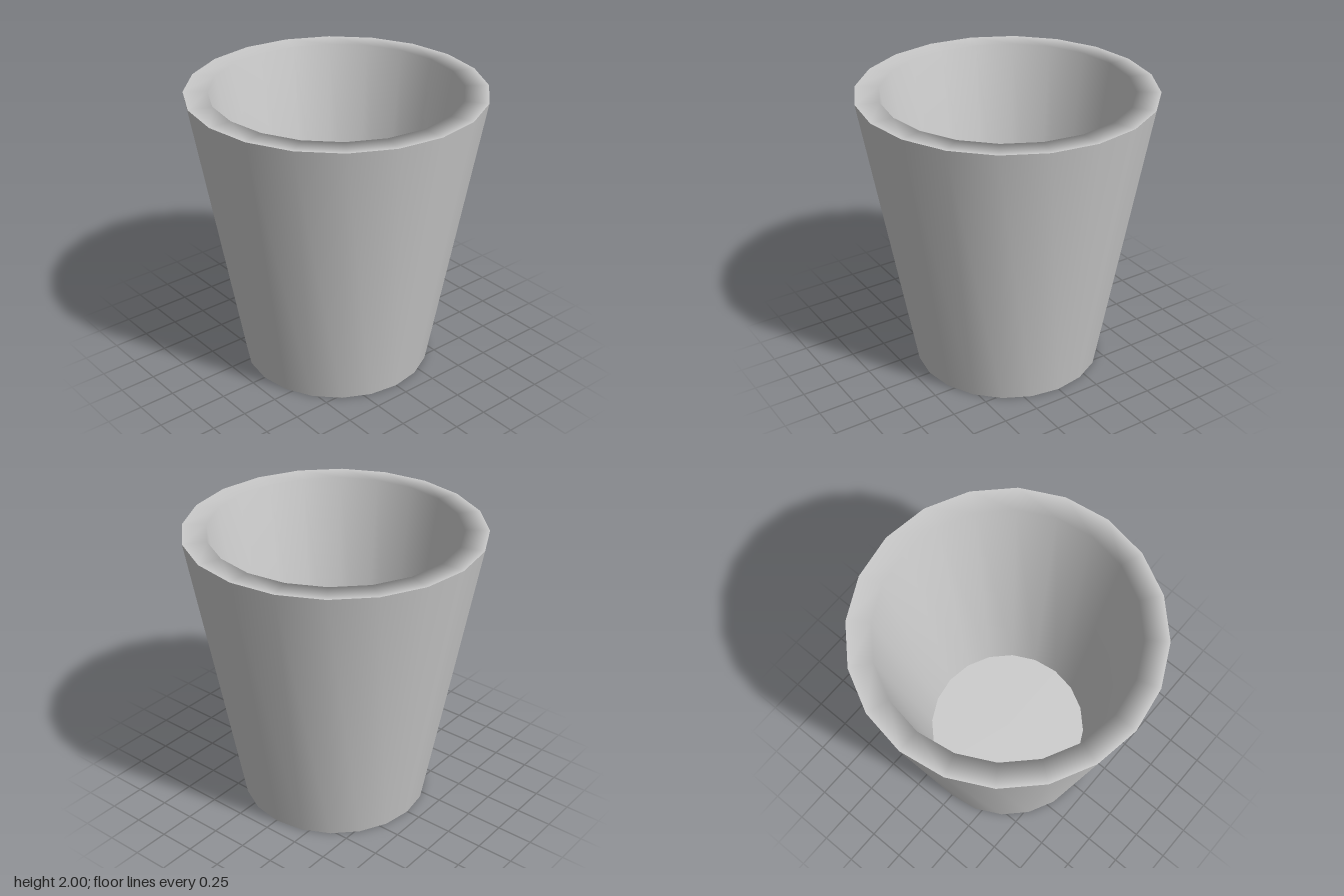
import * as THREE from 'three';

const SIDES = 20;
const BASE_R = 0.65, TOP_R = 1, HEIGHT = 2;
const MOUTH_R = 0.84, FLOOR_R = 0.57, FLOOR_Y = 0.16;

export function createModel() {
  const group = new THREE.Group();
  group.name = 'cup';
  const material = new THREE.MeshStandardMaterial({ color: 0xcccccc });

  const add = (name, geometry) => {
    const mesh = new THREE.Mesh(geometry, material);
    mesh.name = name;
    group.add(mesh);
    return mesh;
  };
  const lathe = (points) =>
    new THREE.LatheGeometry(points.map(([r, y]) => new THREE.Vector2(r, y)), SIDES);

  // Tapered outside
  add('outerWall', lathe([[BASE_R, 0], [TOP_R, HEIGHT]]));

  // Flat rim blending softly into the inside wall
  add('rimAndInnerWall', lathe([[TOP_R, HEIGHT], [MOUTH_R, HEIGHT], [FLOOR_R, FLOOR_Y]]));

  // Inside floor, facing up
  const floor = add('floor', new THREE.CircleGeometry(FLOOR_R, SIDES));
  floor.rotation.x = -Math.PI / 2;
  floor.position.y = FLOOR_Y;

  // Underside, facing down
  const base = add('base', new THREE.CircleGeometry(BASE_R, SIDES));
  base.rotation.x = Math.PI / 2;

  return group;
}
